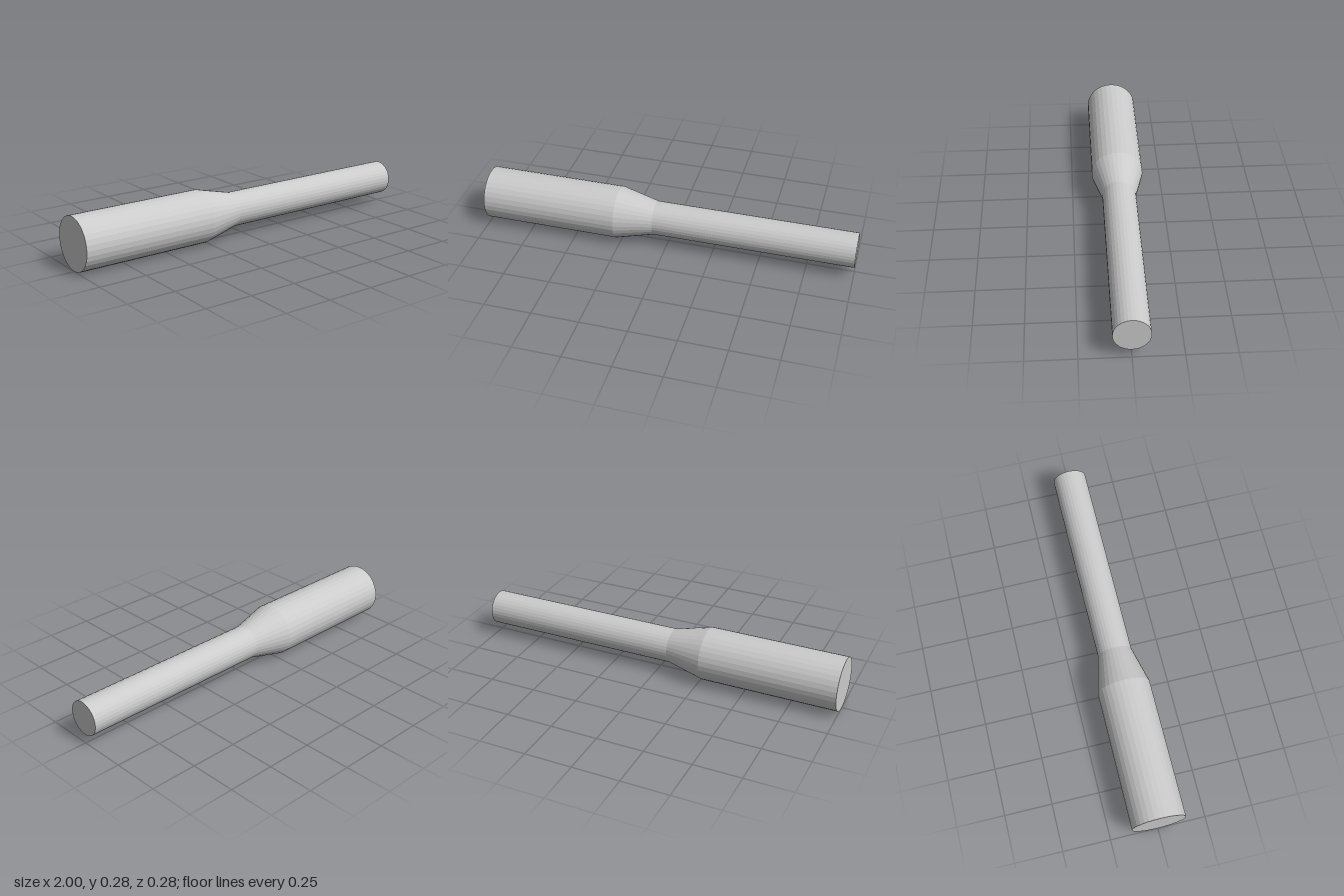
import * as THREE from 'three';

const SIDES = 32;
const AXIS_HEIGHT = 0.14;
const WIDE = 0.14;
const NARROW = 0.091;

export function createModel() {
  const group = new THREE.Group();
  group.name = 'steppedRod';
  const material = new THREE.MeshStandardMaterial({ color: 0xcccccc, flatShading: true });

  // Turned section along x, from [radius, x] points running left to right
  function turned(name, profile) {
    const points = profile.map(([r, x]) => new THREE.Vector2(r, x));
    const geometry = new THREE.LatheGeometry(points, SIDES);
    geometry.rotateZ(-Math.PI / 2);
    const mesh = new THREE.Mesh(geometry, material);
    mesh.name = name;
    mesh.position.y = AXIS_HEIGHT;
    group.add(mesh);
  }

  // Thick grip with its closed end
  turned('grip', [[0, -1], [WIDE, -1], [WIDE, -0.27]]);
  // Conical transition
  turned('taper', [[WIDE, -0.27], [NARROW, -0.07]]);
  // Thin shaft with its closed end
  turned('shaft', [[NARROW, -0.07], [NARROW, 1], [0, 1]]);

  return group;
}
